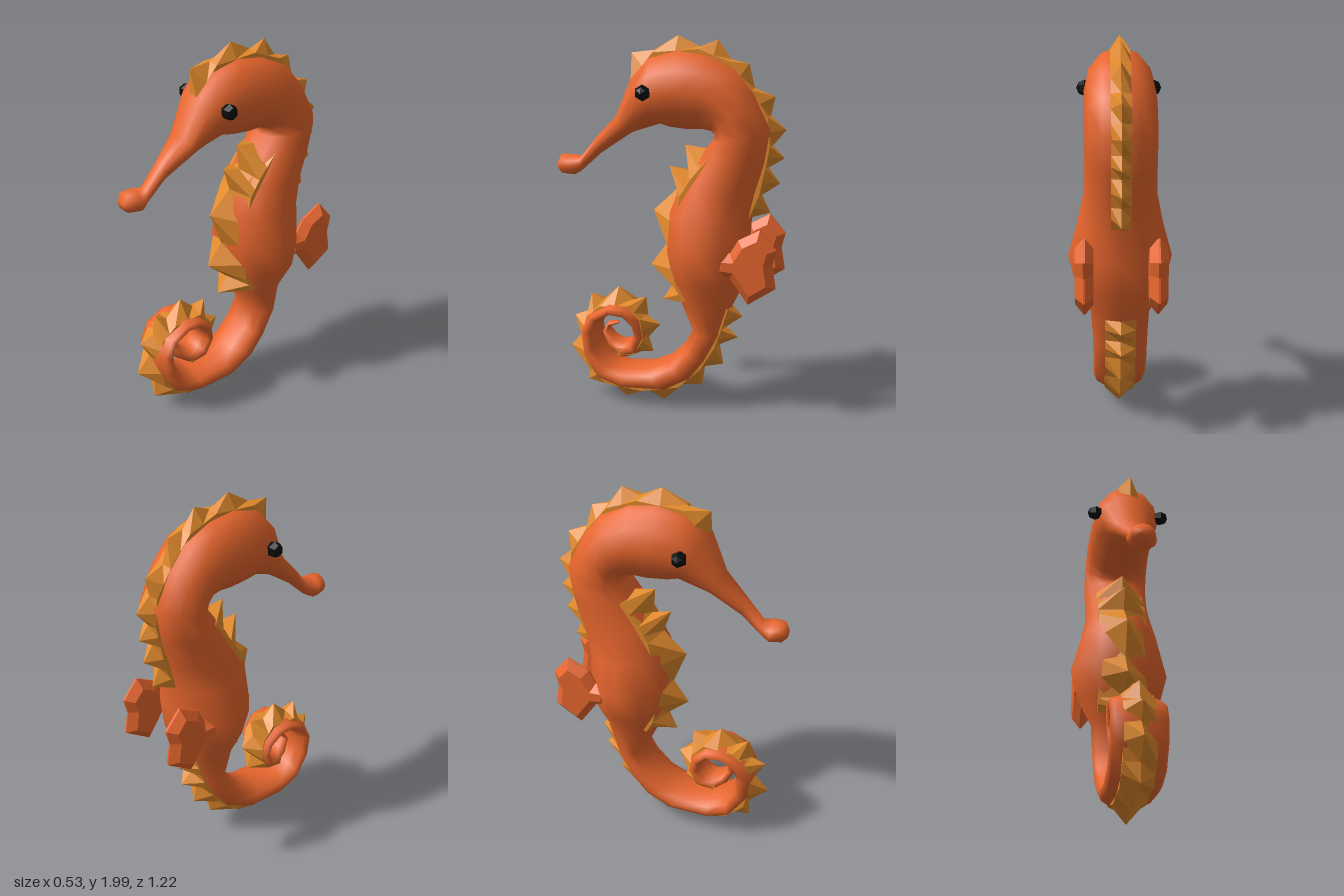
import * as THREE from 'three';

const orange = new THREE.MeshStandardMaterial({ color: 0xe8662d });
const yellow = new THREE.MeshStandardMaterial({ color: 0xe28a2c, flatShading: true, side: THREE.DoubleSide });
const black = new THREE.MeshStandardMaterial({ color: 0x0a0a0a, flatShading: true });

// Body cross-sections: outer edge z, y, inner edge z, y, half width
const head = [
  [0.61, 1.33, 0.61, 1.29, 0.03], [0.59, 1.37, 0.585, 1.265, 0.06], [0.535, 1.37, 0.52, 1.26, 0.078],
  [0.48, 1.365, 0.48, 1.285, 0.045], [0.39, 1.475, 0.37, 1.385, 0.05], [0.28, 1.59, 0.2, 1.5, 0.1],
  [0.2, 1.79, 0.05, 1.55, 0.15], [0.1, 1.9, 0, 1.535, 0.175], [-0.05, 1.94, -0.1, 1.525, 0.18],
  [-0.2, 1.92, -0.17, 1.53, 0.18], [-0.35, 1.85, -0.22, 1.52, 0.18], [-0.45, 1.73, -0.24, 1.5, 0.18],
];
const trunk = [
  [-0.54, 1.55, -0.23, 1.475, 0.18], [-0.515, 1.37, -0.17, 1.4, 0.18], [-0.47, 1.21, -0.07, 1.25, 0.185],
  [-0.44, 1.07, 0, 1.1, 0.215], [-0.43, 0.9, 0.01, 0.9, 0.265], [-0.42, 0.75, -0.02, 0.74, 0.225],
  [-0.35, 0.6, -0.07, 0.6, 0.15], [-0.3, 0.44, -0.14, 0.45, 0.14], [-0.22, 0.28, -0.09, 0.36, 0.14],
  [-0.14, 0.17, 0, 0.27, 0.14], [0, 0.09, 0.1, 0.225, 0.14],
];
const tail = [
  [0.24, 0.08, 0.25, 0.21, 0.14], [0.38, 0.125, 0.34, 0.25, 0.14], [0.47, 0.26, 0.385, 0.34, 0.14],
  [0.49, 0.4, 0.39, 0.42, 0.14], [0.44, 0.505, 0.365, 0.475, 0.14], [0.32, 0.57, 0.31, 0.505, 0.135],
  [0.22, 0.565, 0.24, 0.495, 0.13], [0.14, 0.495, 0.2, 0.45, 0.12], [0.12, 0.39, 0.19, 0.4, 0.11],
  [0.165, 0.285, 0.215, 0.355, 0.1], [0.26, 0.25, 0.26, 0.345, 0.085], [0.34, 0.31, 0.3, 0.365, 0.065],
  [0.375, 0.39, 0.335, 0.4, 0.05], [0.345, 0.445, 0.335, 0.415, 0.035], [0.285, 0.45, 0.29, 0.435, 0.02],
];

function makeGeometry(pos, idx) {
  const g = new THREE.BufferGeometry();
  g.setAttribute('position', new THREE.Float32BufferAttribute(pos, 3));
  g.setIndex(idx);
  g.computeVertexNormals();
  return g;
}

// Skin elliptical rings through the sections, closed at both ends
function loft(sections, sides) {
  const pos = [], idx = [], n = sections.length;
  for (const [za, ya, zb, yb, w] of sections) {
    for (let j = 0; j < sides; j++) {
      const t = (j / sides) * Math.PI * 2, c = Math.cos(t) / 2;
      pos.push(Math.sin(t) * w, (ya + yb) / 2 + c * (ya - yb), (za + zb) / 2 + c * (za - zb));
    }
  }
  for (const s of [sections[0], sections[n - 1]]) pos.push(0, (s[1] + s[3]) / 2, (s[0] + s[2]) / 2);
  const first = n * sides, last = first + 1;
  for (let j = 0; j < sides; j++) {
    const k = (j + 1) % sides;
    idx.push(first, k, j, last, (n - 1) * sides + j, (n - 1) * sides + k);
    for (let i = 0; i < n - 1; i++) {
      const a = i * sides + j, b = i * sides + k;
      idx.push(a, b, a + sides, b, b + sides, a + sides);
    }
  }
  return makeGeometry(pos, idx);
}

// Gabled saw-tooth strip; points alternate valley, peak, valley as [z, y]
function crest(points, width, inset) {
  const pos = [], idx = [], n = points.length;
  const base = points.map((p, i) => i % 2 === 0 ? p
    : [(points[i - 1][0] + points[i + 1][0]) / 2, (points[i - 1][1] + points[i + 1][1]) / 2]);
  points.forEach(([z, y], i) => {
    const p = base[Math.max(0, i - 1)], q = base[Math.min(n - 1, i + 1)];
    const len = Math.hypot(q[0] - p[0], q[1] - p[1]);
    const nz = (q[1] - p[1]) / len, ny = -(q[0] - p[0]) / len;
    const put = (x, d) => pos.push(x, base[i][1] - ny * d, base[i][0] - nz * d);
    put(-width, inset + 0.04);
    put(-width, inset);
    pos.push(0, y, z);
    put(width, inset);
    put(width, inset + 0.04);
  });
  for (let i = 0; i < n - 1; i++) {
    for (let j = 0; j < 4; j++) {
      const a = i * 5 + j;
      idx.push(a, a + 1, a + 5, a + 1, a + 6, a + 5);
    }
  }
  return makeGeometry(pos, idx);
}

const backTeeth = [
  [0.2, 1.78], [0.2, 1.91], [0.08, 1.925], [-0.045, 2.0], [-0.16, 1.945], [-0.25, 1.98], [-0.32, 1.885],
  [-0.41, 1.865], [-0.44, 1.745], [-0.545, 1.705], [-0.525, 1.61], [-0.605, 1.54], [-0.54, 1.46],
  [-0.6, 1.395], [-0.52, 1.345], [-0.58, 1.265], [-0.49, 1.2], [-0.535, 1.11], [-0.44, 1.08],
];
const bellyTeeth = [
  [-0.06, 0.61], [0.035, 0.6], [-0.02, 0.69], [0.1, 0.79], [0.015, 0.91], [0.085, 1.09],
  [-0.04, 1.21], [0, 1.33], [-0.1, 1.31], [-0.085, 1.445], [-0.2, 1.43],
];
const tailTeeth = [
  [-0.35, 0.59], [-0.4, 0.535], [-0.315, 0.47], [-0.38, 0.415], [-0.28, 0.365], [-0.3, 0.255], [-0.2, 0.23],
  [-0.185, 0.125], [-0.075, 0.11], [0.03, 0.01], [0.14, 0.065], [0.25, 0.01], [0.35, 0.09], [0.465, 0.09],
  [0.46, 0.19], [0.565, 0.285], [0.49, 0.375], [0.54, 0.465], [0.46, 0.495], [0.44, 0.6], [0.375, 0.565],
  [0.285, 0.65], [0.205, 0.58], [0.13, 0.6], [0.13, 0.5], [0.05, 0.45], [0.115, 0.375], [0.09, 0.29],
  [0.17, 0.28], [0.26, 0.24], [0.27, 0.26],
];

// Scalloped fin outline as [z, y]
const finOutline = [
  [-0.28, 0.93], [-0.36, 0.93], [-0.4, 1.0], [-0.51, 1.06], [-0.595, 0.96], [-0.575, 0.88],
  [-0.595, 0.76], [-0.455, 0.665], [-0.36, 0.8], [-0.28, 0.81],
];

function finGeometry() {
  const shape = new THREE.Shape(finOutline.map(([z, y]) => new THREE.Vector2(-z, y)));
  const g = new THREE.ExtrudeGeometry(shape, {
    depth: 0.01, bevelEnabled: true, bevelSegments: 1, bevelSize: 0.04, bevelOffset: -0.04, bevelThickness: 0.04,
  });
  g.translate(0, 0, -0.005);
  g.rotateY(Math.PI / 2); // shape x runs toward the back
  return g;
}

export function createModel() {
  const model = new THREE.Group();
  const add = (name, geometry, material) => {
    const mesh = new THREE.Mesh(geometry, material);
    mesh.name = name;
    model.add(mesh);
    return mesh;
  };

  add('body', loft([...head, ...trunk, ...tail], 12), orange);
  add('backCrest', crest(backTeeth, 0.05, 0.01), yellow);
  add('bellyCrest', crest(bellyTeeth, 0.13, 0.045), yellow);
  add('tailCrest', crest(tailTeeth, 0.08, 0.015), yellow);

  // Paired eyes and fins
  const eye = new THREE.SphereGeometry(0.042, 6, 4).rotateZ(Math.PI / 2);
  const fin = finGeometry();
  const finMaterial = orange.clone();
  finMaterial.flatShading = true;
  for (const [side, s] of [['left', 1], ['right', -1]]) {
    add(side + 'Eye', eye, black).position.set(s * 0.18, 1.725, 0.095);
    add(side + 'Fin', fin, finMaterial).position.x = s * 0.18;
  }
  return model;
}
